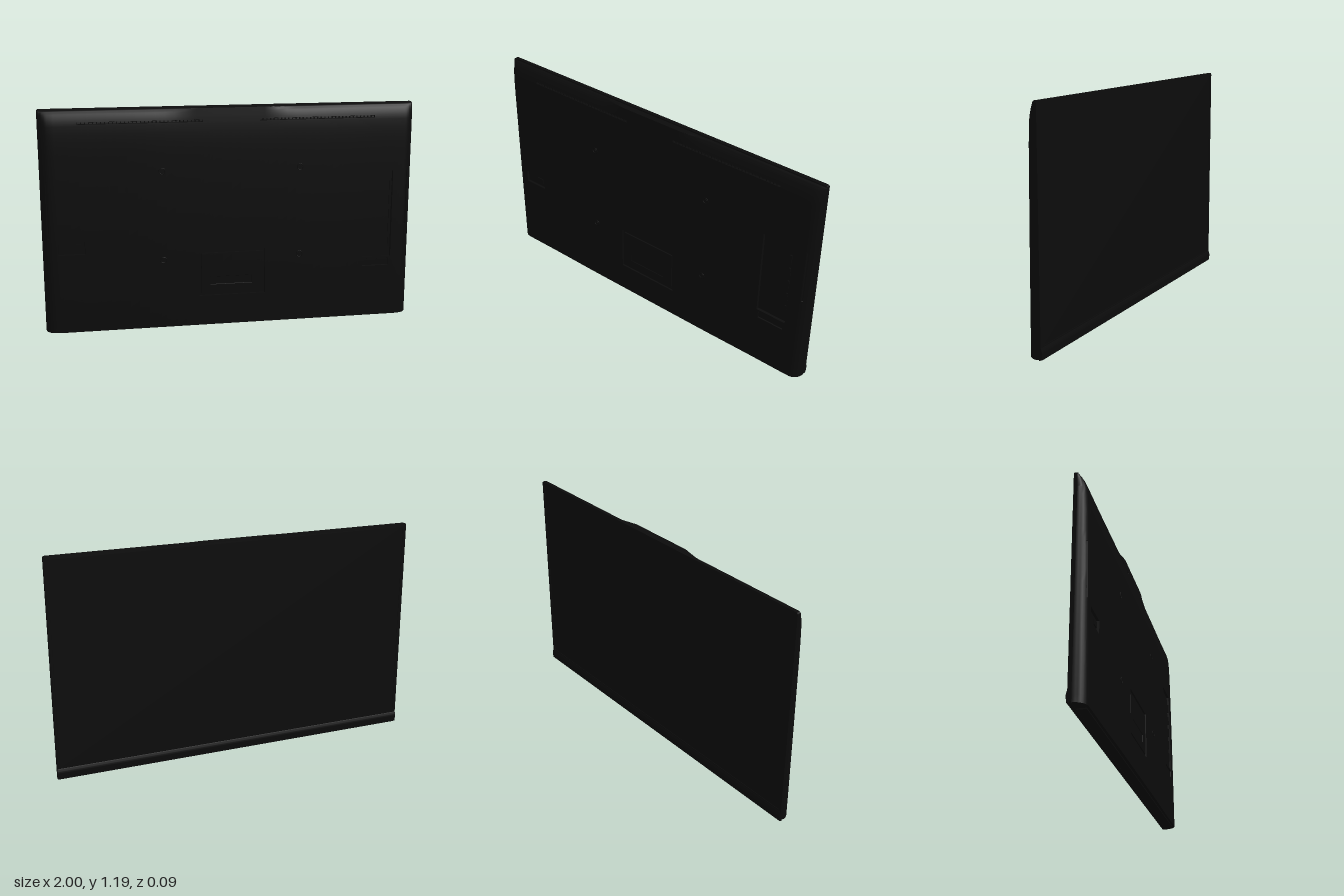
import * as THREE from 'three';
import { toCreasedNormals } from 'three/addons/utils/BufferGeometryUtils.js';

const RIM = -0.02, TOP = 1.183, BOTTOM = 0.006;
const { clamp, lerp, smoothstep } = THREE.MathUtils;

// Pockets pressed into the rear shell: x0, x1, y0, y1, depth (negative is raised)
const pockets = [
  [-0.18, 0.18, 0.17, 0.42, 0.008],    // stand cover surround
  [-0.168, 0.168, 0.182, 0.408, -0.006], // stand cover plate
  [-0.12, 0.11, 0.23, 0.275, 0.003],   // stand label
  [-0.80, -0.15, 1.112, 1.124, 0.01],  // top vents
  [0.15, 0.78, 1.112, 1.124, 0.01],
  [0.72, 0.89, 0.34, 0.82, 0.012],     // connector bay
  [0.73, 0.88, 0.29, 0.33, 0.006],
  [-0.92, -0.78, 0.43, 0.50, 0.012],   // power inlet
  [0.962, 0.972, 0.52, 0.82, 0.006],   // side slots
  [-0.972, -0.962, 0.52, 0.82, 0.006]
];

const rear = [[0, 0.044], [0.2, 0.042], [0.6, 0.037], [0.9, 0.032],
  [1.0, 0.03], [1.08, 0.026], [1.14, 0.019], [1.2, 0.011]];
const round = t => Math.sqrt(1 - (1 - clamp(t, 0, 1)) ** 2);

// Rear surface height: thinner upwards, rounded sides, deeper middle at the top
function rearZ(x, y) {
  const i = Math.max(1, rear.findIndex(p => p[0] >= y));
  const [a, b] = [rear[i - 1], rear[i]];
  let z = lerp(a[1], b[1], (y - a[0]) / (b[0] - a[0]));
  z -= 0.003 * smoothstep(Math.abs(x), 0.35, 0.75);
  const middle = 1 - smoothstep(Math.abs(x), 0.18, 0.34);
  const topRound = lerp(round((TOP - y) / 0.08), 1, middle);
  return RIM + (z - RIM) * round((1 - Math.abs(x)) / 0.06) * topRound;
}

// Grid lines: regular steps, finer edges and both sides of each pocket wall
function gridLines(low, high, steps, extra, a, b) {
  const lines = [...extra];
  for (let i = 0; i <= steps; i++) lines.push(lerp(low, high, i / steps));
  for (const p of pockets) lines.push(p[a], p[a] + 0.002, p[b] - 0.002, p[b]);
  return [...new Set(lines.map(v => +v.toFixed(4)))].sort((m, n) => m - n);
}

function shellGeometry() {
  const edge = [0.002, 0.006, 0.012, 0.02, 0.03, 0.04, 0.05];
  const xs = gridLines(-1, 1, 40, edge.flatMap(e => [e - 1, 1 - e]), 0, 1);
  const ys = gridLines(BOTTOM, TOP, 30, edge.map(e => TOP - e), 2, 3);
  ys.push(TOP);          // doubled end rows close the shell above and below
  ys.unshift(BOTTOM);
  ys.reverse();
  const g = new THREE.PlaneGeometry(1, 1, xs.length - 1, ys.length - 1);
  const pos = g.attributes.position;
  ys.forEach((y, r) => xs.forEach((x, c) => {
    let z = rearZ(x, y);
    for (const [x0, x1, y0, y1, d] of pockets)
      if (x > x0 + 1e-3 && x < x1 - 1e-3 && y > y0 + 1e-3 && y < y1 - 1e-3) z -= d;
    if (r === 0 || r === ys.length - 1) z = RIM;
    pos.setXYZ(r * xs.length + c, x, y, z);
  }));
  return toCreasedNormals(g, 0.6);
}

function roundedRect(Type, x0, y0, x1, y1, r) {
  const s = new Type();
  s.moveTo(x0 + r, y0);
  s.lineTo(x1 - r, y0); s.quadraticCurveTo(x1, y0, x1, y0 + r);
  s.lineTo(x1, y1 - r); s.quadraticCurveTo(x1, y1, x1 - r, y1);
  s.lineTo(x0 + r, y1); s.quadraticCurveTo(x0, y1, x0, y1 - r);
  s.lineTo(x0, y0 + r); s.quadraticCurveTo(x0, y0, x0 + r, y0);
  return s;
}

export function createModel() {
  const model = new THREE.Group();
  model.name = 'television';
  const black = new THREE.MeshStandardMaterial({ color: 0x0b0b0b, side: THREE.DoubleSide });
  const add = (name, geometry, x = 0, y = 0, z = 0, parent = model) => {
    const mesh = new THREE.Mesh(geometry, black);
    mesh.name = name;
    mesh.position.set(x, y, z);
    parent.add(mesh);
    return mesh;
  };

  add('rearShell', shellGeometry());

  // Screen surround with a thin lip, screen facing -z
  const frame = roundedRect(THREE.Shape, -1, 0.004, 1, 1.19, 0.012);
  frame.holes.push(roundedRect(THREE.Path, -0.982, 0.07, 0.982, 1.172, 0.002));
  add('screenFrame', new THREE.ExtrudeGeometry(frame, { depth: 0.019, bevelEnabled: false }), 0, 0, -0.039);
  add('screenPanel', new THREE.BoxGeometry(1.97, 1.11, 0.014), 0, 0.621, -0.029);

  // Bulging strip below the screen: cross-section in z and y, run along x
  const chin = new THREE.Shape();
  chin.moveTo(0.03, 0.004);
  chin.lineTo(0.043, 0.008);
  chin.quadraticCurveTo(0.044, 0.025, 0.0455, 0.036);
  chin.quadraticCurveTo(0.045, 0.052, 0.038, 0.066);
  chin.lineTo(0.03, 0.066);
  const chinGeo = new THREE.ExtrudeGeometry(chin, { depth: 2, bevelEnabled: false, curveSegments: 8 });
  chinGeo.rotateY(Math.PI / 2);      // depth along x
  chinGeo.translate(-1, 0, 0);
  add('lowerStrip', toCreasedNormals(chinGeo, 0.6));

  add('underside', new THREE.BoxGeometry(1.86, 0.008, 0.045), 0, 0.004, 0.006);

  // Wall mount sockets
  for (const x of [-0.37, 0.37]) for (const y of [0.38, 0.86]) {
    const socket = new THREE.Group();
    socket.name = 'mountSocket';
    socket.position.set(x, y, rearZ(x, y));
    model.add(socket);
    add('socketRing', new THREE.TorusGeometry(0.016, 0.0025, 8, 24), 0, 0, 0, socket);
    const screw = new THREE.CylinderGeometry(0.008, 0.008, 0.003, 16);
    add('socketScrew', screw.rotateX(Math.PI / 2), 0, 0, 0, socket);
  }

  // Ribs across the top vents
  for (const [x0, x1] of [[-0.80, -0.15], [0.15, 0.78]])
    for (let i = 1; i < 32; i++) {
      const x = lerp(x0, x1, i / 32);
      add('ventRib', new THREE.BoxGeometry(0.005, 0.012, 0.01), x, 1.118, rearZ(x, 1.118) - 0.006);
    }

  // Connectors in the side bay and the power inlet
  for (let i = 0; i < 5; i++)
    add('connector', new THREE.BoxGeometry(0.012, 0.05, 0.008), 0.88, 0.42 + i * 0.08, rearZ(0.88, 0.5) - 0.01);
  add('powerInlet', new THREE.BoxGeometry(0.04, 0.03, 0.008), -0.82, 0.468, rearZ(-0.82, 0.468) - 0.01);

  return model;
}
